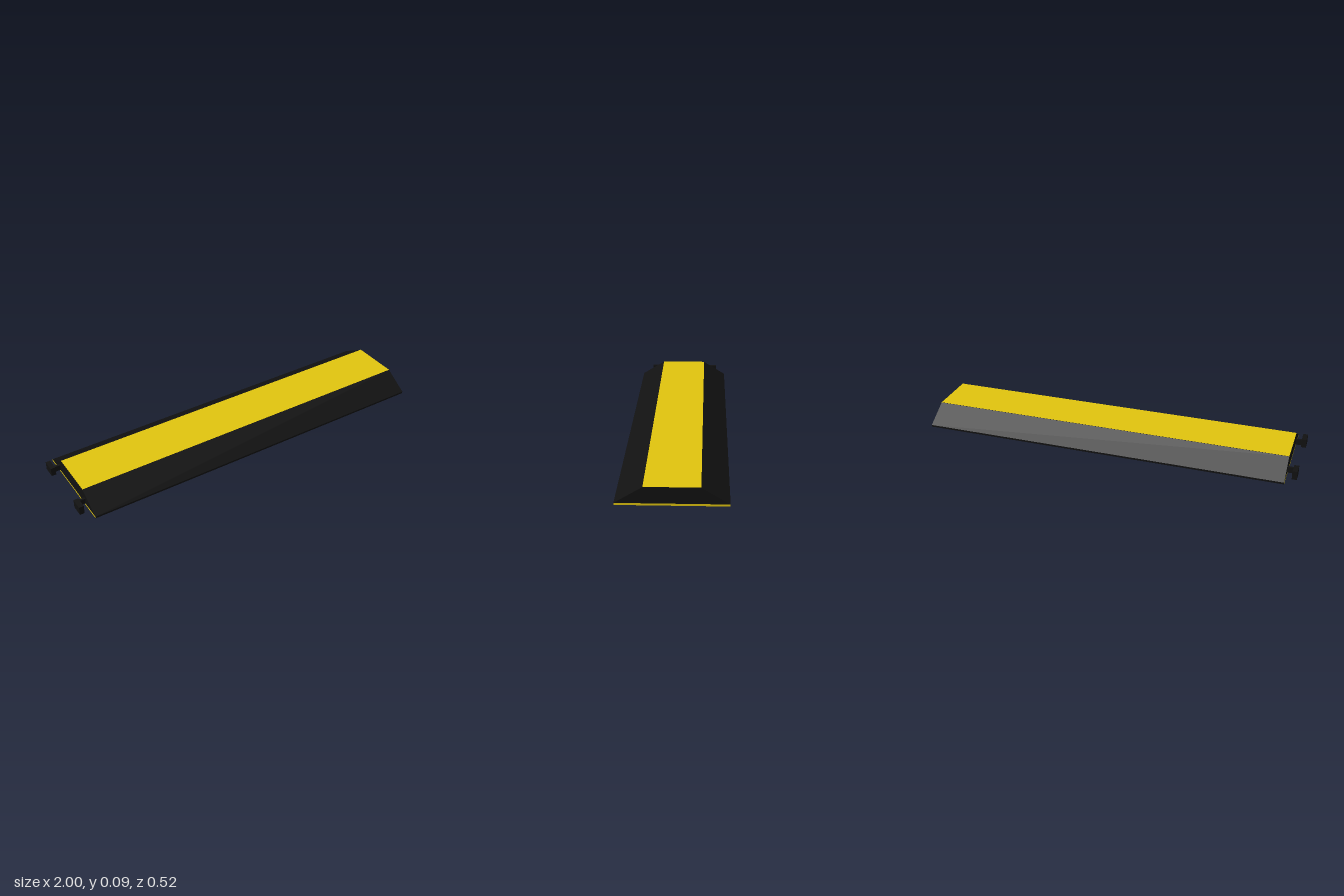
import * as THREE from 'three';

const X0 = -0.945, X1 = 1, LENGTH = X1 - X0, MID = (X0 + X1) / 2;
const BASE = 0.01, HEIGHT = 0.089, HALF = 0.258, TOP_HALF = 0.129, SKIN = 0.001;

export function createModel() {
  const group = new THREE.Group();
  const black = new THREE.MeshStandardMaterial({ color: 0x111111 });
  const yellow = new THREE.MeshStandardMaterial({ color: 0xe0c40e });

  const add = (name, geometry, material, x = 0, y = 0, z = 0, parent = group) => {
    const mesh = new THREE.Mesh(geometry, material);
    mesh.name = name;
    mesh.position.set(x, y, z);
    parent.add(mesh);
    return mesh;
  };

  // Base plate: yellow underside and ends, black long edges
  add('basePlate', new THREE.BoxGeometry(LENGTH, BASE, HALF * 2),
    [yellow, yellow, black, yellow, black, black], MID, BASE / 2, 0);

  // Ramp body: trapezoid cross-section swept along x
  const profile = new THREE.Shape([
    new THREE.Vector2(-HALF, BASE),
    new THREE.Vector2(HALF, BASE),
    new THREE.Vector2(TOP_HALF, HEIGHT - SKIN),
    new THREE.Vector2(-TOP_HALF, HEIGHT - SKIN),
  ]);
  const body = new THREE.ExtrudeGeometry(profile, { depth: LENGTH, bevelEnabled: false });
  body.rotateY(Math.PI / 2);
  add('rampBody', body, black, X0);

  // Lid: yellow on top, black along its edges
  add('topLid', new THREE.BoxGeometry(LENGTH, SKIN, TOP_HALF * 2),
    [black, black, yellow, black, black, black], MID, HEIGHT - SKIN / 2, 0);

  // L-shaped connector hooks, both on the right end: [arm z, plate z]
  for (const [name, armZ, plateZ] of [['frontHook', 0.144, 0.168], ['backHook', -0.157, -0.173]]) {
    const hook = new THREE.Group();
    hook.name = name;
    add('hookArm', new THREE.BoxGeometry(0.05, 0.03, 0.013), black, -0.96, 0.03, armZ, hook);
    add('hookPlate', new THREE.BoxGeometry(0.025, 0.046, 0.065), black, -0.9875, 0.028, plateZ, hook);
    group.add(hook);
  }
  return group;
}
